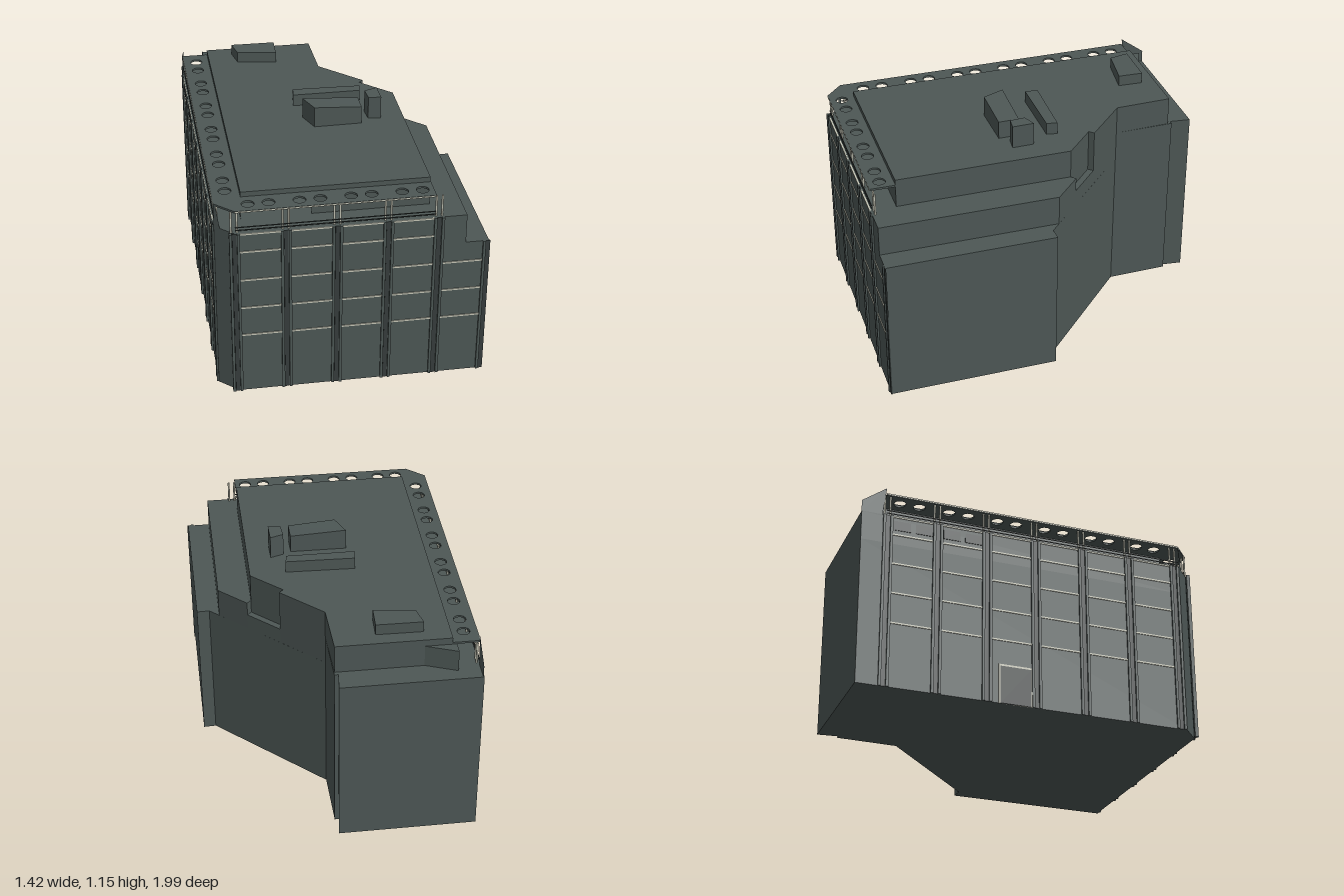
import * as THREE from 'three';

const mats = {
  wall: new THREE.MeshStandardMaterial({ name: 'slate wall', color: 0x4d5755 }),
  dark: new THREE.MeshStandardMaterial({ name: 'dark trim', color: 0x363d3c }),
  cream: new THREE.MeshStandardMaterial({ name: 'cream trim', color: 0xc8c8b8 }),
  sheet: new THREE.MeshStandardMaterial({ name: 'slate sheet', color: 0x4d5755, side: THREE.DoubleSide }),
};

const TILT = Math.atan2(0.25, 1.17);        // the plan is turned on its plot
const TERRACE = 0.89, CANOPY = 1.0, ROOF = 1.035;
const LEFT = -0.56, FRONT = 0.857;          // facade planes in the building's own frame
const FRONT_PIERS = [0, 1, 2, 3, 4, 5].map(i => -0.475 + 0.239 * i);
const LEFT_PIERS = [0, 1, 2, 3, 4, 5, 6].map(i => -0.762 + 0.2512 * i);

function add(parent, name, geometry, material) {
  const mesh = new THREE.Mesh(geometry, material);
  mesh.name = name;
  parent.add(mesh);
  return mesh;
}

function box(parent, name, size, pos, material) {
  const mesh = add(parent, name, new THREE.BoxGeometry(...size), material);
  mesh.position.set(...pos);
  return mesh;
}

// Upright prism over a plan of [x, z] points, with optional round holes
function prism(parent, name, plan, y0, y1, material, holes = [], radius = 0.03) {
  const shape = new THREE.Shape(plan.map(([x, z]) => new THREE.Vector2(x, -z)));
  for (const [x, z] of holes) {
    const hole = new THREE.Path();
    hole.absarc(x, -z, radius, 0, Math.PI * 2, true);
    shape.holes.push(hole);
  }
  const geo = new THREE.ExtrudeGeometry(shape, { depth: y1 - y0, bevelEnabled: false, curveSegments: 8 });
  geo.rotateX(-Math.PI / 2);
  geo.translate(0, y0, 0);
  return add(parent, name, geo, material);
}

// Flat sheet through four corners, anticlockwise from its front
function sheet(parent, name, corners, material) {
  const geo = new THREE.BufferGeometry();
  geo.setAttribute('position', new THREE.Float32BufferAttribute(corners.flat(), 3));
  geo.setIndex([0, 1, 2, 0, 2, 3]);
  geo.computeVertexNormals();
  return add(parent, name, geo, material);
}

function wallSheet(parent, name, [ax, az], [bx, bz], y0, y1) {
  return sheet(parent, name, [[ax, y0, az], [bx, y0, bz], [bx, y1, bz], [ax, y1, az]], mats.wall);
}

// Detail placed on a facade: a = position along it, out = distance in front of it
function onFacade(parent, side, name, a, y, length, height, depth, material, out = 0) {
  return side === 'front'
    ? box(parent, name, [length, height, depth], [a, y, FRONT + out], material)
    : box(parent, name, [depth, height, length], [LEFT - out, y, a], material);
}

function facade(parent, side, piers, tallBays) {
  const group = new THREE.Group();
  group.name = side + 'Facade';
  parent.add(group);
  piers.forEach((p, i) => {
    const tall = i <= tallBays ? TERRACE : 0.74;
    // Twin fins with a dark slot between them
    onFacade(group, side, 'pierSlot', p, tall / 2, 0.02, tall, 0.006, mats.dark);
    for (const s of [-1, 1]) {
      const end = side === 'front' && i === piers.length - 1;
      if (end && s > 0) continue;
      onFacade(group, side, 'pierFin', p + s * 0.018, tall / 2, 0.013, tall, 0.018, mats.wall);
      if (tall === TERRACE) {
        const post = add(group, 'canopyPost',
          new THREE.CylinderGeometry(0.005, 0.005, CANOPY - TERRACE, 8), mats.cream);
        const y = (CANOPY + TERRACE) / 2;
        if (side === 'front') post.position.set(p + s * 0.014, y, FRONT - 0.015);
        else post.position.set(LEFT + 0.015, y, p + s * 0.014);
      }
    }
    // Pale floor lines in the bay that follows
    if (i === piers.length - 1) return;
    const bay = piers[i + 1] - p;
    [0.325, 0.48, 0.635, 0.79, 0.886].forEach((y, k) => {
      if (k > 2 && i >= tallBays) return;
      onFacade(group, side, 'floorLine', p + bay / 2, y, bay - 0.05, 0.008, 0.008, mats.cream);
    });
  });
  return group;
}

export function createModel() {
  const root = new THREE.Group();
  root.name = 'building';
  const b = new THREE.Group();
  b.name = 'mainBlock';
  b.rotation.y = -TILT;
  root.add(b);

  // Stacked masses: base, upper floor, penthouse
  const corner = [[LEFT, -0.893], [LEFT, 0.774], [-0.471, FRONT]];
  const back = [[0.131, -0.488], [0.125, -0.79], [0.105, -0.79], [0.117, -0.893]];
  const notch = [[0.457, -0.131], [0.309, -0.273], [0.33, -0.295]];
  prism(b, 'baseFloors', [...corner, [0.725, FRONT], [0.722, 0.02], [0.66, 0.023], ...back], 0, 0.74, mats.wall);
  prism(b, 'notchSill', [[0.478, -0.153], [0.457, -0.131], [0.309, -0.273], [0.33, -0.295]], 0.74, 0.82, mats.wall);
  prism(b, 'upperFloor', [...corner, [0.613, FRONT], [0.613, -0.022], [0.478, -0.153], ...notch, ...back],
    0.74, TERRACE, mats.wall);

  const roof = [[-0.43, -0.77], [-0.43, 0.733], [0.46, 0.733], [0.457, -0.131],
    [0.309, -0.273], [0.33, -0.295], [0.131, -0.488], [0.122, -0.77]];
  prism(b, 'roofSlab', roof, 1.01, ROOF, mats.wall);
  for (let i = 0; i < roof.length; i++) {
    const start = i === 1 ? [-0.1, 0.733] : roof[i];   // open loggia at the front left
    wallSheet(b, 'penthouseWall', start, roof[(i + 1) % roof.length], TERRACE, 1.01);
  }

  // Pierced canopy around the two terrace sides
  const holes = [];
  for (let i = 0; i < 4; i++)
    for (const s of [-1, 1]) holes.push([-0.356 + 0.239 * i + s * 0.048, 0.798]);
  for (let i = 0; i < 6; i++)
    for (const s of [-1, 1]) holes.push([-0.495, -0.637 + 0.2512 * i + s * 0.049]);
  prism(b, 'canopy', [[LEFT, -0.77], [LEFT, 0.774], [-0.471, FRONT], [0.463, FRONT],
    [0.463, 0.733], [-0.43, 0.733], [-0.43, -0.77]], CANOPY, 1.01, mats.wall, holes);
  box(b, 'canopyEdge', [0.934, 0.006, 0.004], [-0.004, 1.005, FRONT], mats.cream);
  box(b, 'canopyEdge', [0.004, 0.006, 1.544], [LEFT, 1.005, 0.002], mats.cream);

  // Facades
  facade(b, 'front', FRONT_PIERS, 4);
  const left = facade(b, 'left', LEFT_PIERS, 6);
  onFacade(left, 'left', 'doorFrame', -0.115, 0.1, 0.17, 0.2, 0.006, mats.cream);
  onFacade(left, 'left', 'door', -0.115, 0.095, 0.156, 0.19, 0.008, mats.dark, 0.001);
  for (const a of [-0.69, -0.58, -0.44, -0.33])
    onFacade(left, 'left', 'topWindow', a, 0.84, 0.085, 0.05, 0.006, mats.dark);

  // Terrace railing
  for (const y of [0.905, 0.92]) {
    box(b, 'railFront', [0.934, 0.004, 0.004], [-0.004, y, FRONT - 0.006], mats.dark);
    box(b, 'railLeft', [0.004, 0.004, 1.544], [LEFT + 0.006, y, 0.002], mats.dark);
  }

  // Sloping screens at the corners
  sheet(b, 'backScreen', [[-0.555, TERRACE, -0.893], [-0.555, TERRACE, -0.79],
    [-0.555, 1.04, -0.77], [-0.555, 0.95, -0.893]], mats.sheet);
  sheet(b, 'cornerScreen', [[LEFT, TERRACE, 0.774], [-0.535, TERRACE, 0.797],
    [-0.55, CANOPY, 0.783], [LEFT, CANOPY, 0.774]], mats.sheet);
  prism(b, 'backVent', [[-0.45, -0.83], [-0.45, -0.77], [-0.3, -0.77]], TERRACE, 1.0, mats.wall);

  // Rooftop plant boxes
  prism(root, 'rearPlantBox', [[-0.15, -0.75], [-0.15, -0.65], [0.04, -0.58], [0.07, -0.70]], ROOF, 1.09, mats.wall);
  prism(root, 'longPlantBox', [[-0.03, -0.14], [-0.05, -0.08], [0.28, -0.01], [0.30, -0.06]], ROOF, 1.095, mats.wall);
  prism(root, 'stairTower', [[0.26, 0.1], [0.25, 0.175], [0.31, 0.195], [0.33, 0.09]], ROOF, 1.15, mats.wall);
  const lift = prism(root, 'liftHouse', [[-0.05, 0.05], [-0.03, 0.165], [0.2, 0.21], [0.22, 0.11]], ROOF, 1.14, mats.wall);
  const pos = lift.geometry.attributes.position;      // roof falls gently to one side
  for (let i = 0; i < pos.count; i++)
    if (pos.getY(i) > 1.1 && pos.getX(i) > 0.1) pos.setY(i, 1.125);
  lift.geometry.computeVertexNormals();

  return root;
}
